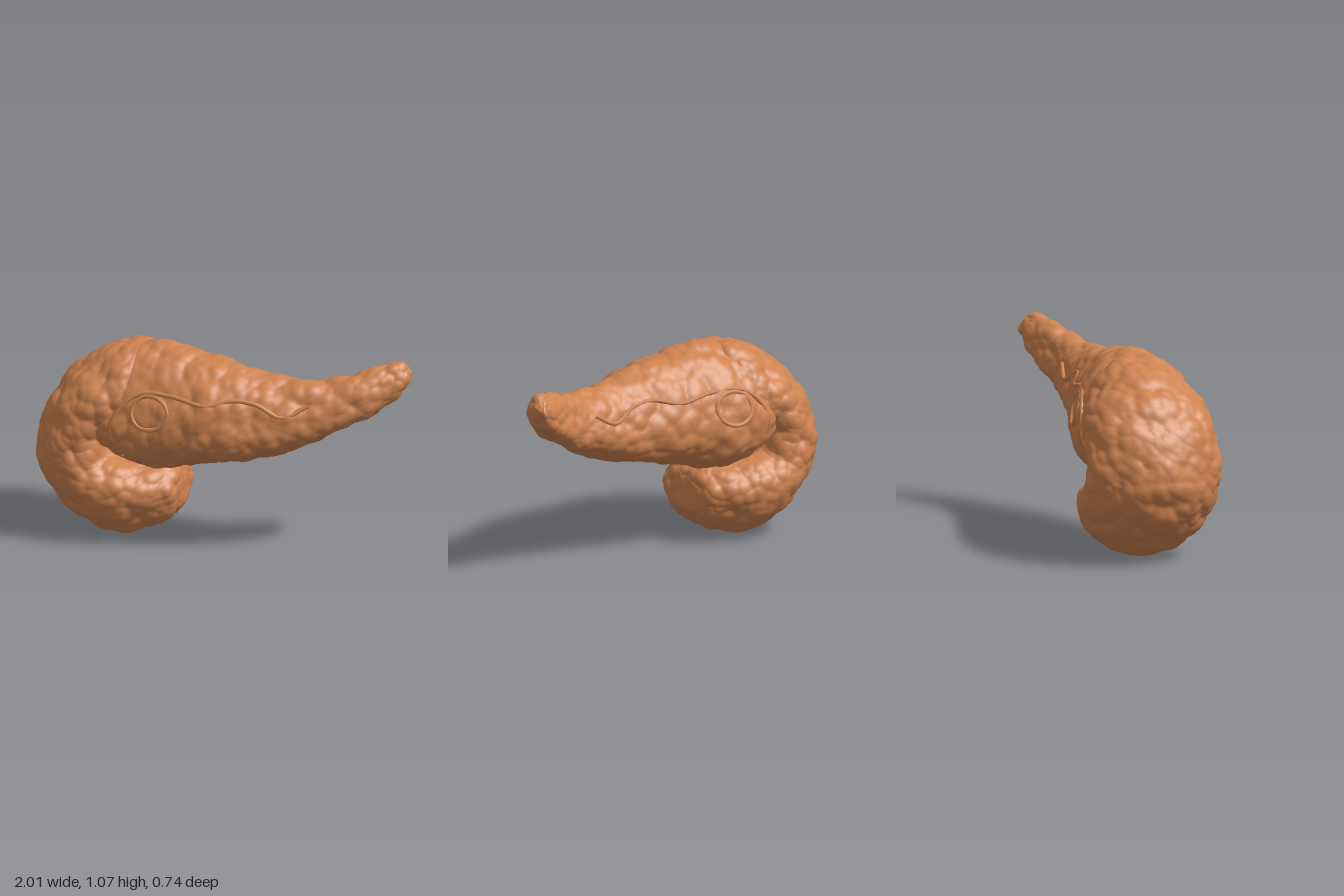
import * as THREE from 'three';

const hash = (x, y, z, k) => {
  const s = Math.sin(x * 127.1 + y * 311.7 + z * 74.7 + k * 53.3) * 43758.5453;
  return s - Math.floor(s);
};

// Cellular domes: 1 at a lobe centre, falling to a crease between lobes
function lobes(p, size) {
  const x = p.x / size, y = p.y / size, z = p.z / size;
  const cx = Math.floor(x), cy = Math.floor(y), cz = Math.floor(z);
  let best = 9;
  for (let i = cx - 1; i <= cx + 1; i++)
    for (let j = cy - 1; j <= cy + 1; j++)
      for (let k = cz - 1; k <= cz + 1; k++) {
        const dx = i + hash(i, j, k, 1) - x, dy = j + hash(i, j, k, 2) - y, dz = k + hash(i, j, k, 3) - z;
        best = Math.min(best, dx * dx + dy * dy + dz * dz);
      }
  return 1 - Math.min(best, 1);
}

// Surface through sections [outerX, outerY, innerX, innerY, zBack, zFront];
// sag moves the widest line of each section toward its inner side
function makeSurface(sections, sag) {
  const curve = (f) => new THREE.CatmullRomCurve3(sections.map(f), false, 'catmullrom', 0.5);
  const outer = curve((s) => new THREE.Vector3(s[0], s[1], 0));
  const inner = curve((s) => new THREE.Vector3(s[2], s[3], 0));
  const width = curve((s) => new THREE.Vector3(s[4], s[5], 0));
  return (t, a) => {
    const o = outer.getPoint(t), n = inner.getPoint(t), w = width.getPoint(t);
    const s = Math.sin(a), c = Math.cos(a) - sag * s * s;
    return new THREE.Vector3(
      (o.x + n.x) / 2 + c * (o.x - n.x) / 2,
      (o.y + n.y) / 2 + c * (o.y - n.y) / 2,
      (w.x + w.y) / 2 + s * (w.y - w.x) / 2);
  };
}

function lobedGeometry(surface, rows, cols, mirrored) {
  const pos = [], idx = [];
  for (let i = 0; i <= rows; i++)
    for (let j = 0; j < cols; j++) {
      pos.push(...surface(i / rows, j / cols * Math.PI * 2).toArray());
      if (i === rows) continue;
      const a = i * cols + j, b = i * cols + (j + 1) % cols;
      idx.push(a, b, a + cols, b, b + cols, a + cols);
    }
  const g = new THREE.BufferGeometry();
  g.setAttribute('position', new THREE.Float32BufferAttribute(pos, 3));
  g.setIndex(idx);
  g.computeVertexNormals();
  const p = new THREE.Vector3(), n = new THREE.Vector3(), q = new THREE.Vector3();
  const P = g.attributes.position;
  for (let v = 0; v < P.count; v++) {
    const row = Math.floor(v / cols);
    const fade = Math.min(1, row / 14, (rows - row) / 14);
    p.fromBufferAttribute(P, v);
    n.fromBufferAttribute(g.attributes.normal, v);
    q.copy(p);
    if (mirrored) q.z = Math.abs(q.z);
    const d = 0.028 * (lobes(q, 0.13) - 0.7) + 0.016 * (lobes(q, 0.065) - 0.7);
    p.addScaledVector(n, d * fade);
    P.setXYZ(v, p.x, p.y, p.z);
  }
  g.computeVertexNormals();
  return g;
}

export function createModel() {
  const tissue = new THREE.MeshStandardMaterial({ color: 0xcd8250 });
  tissue.name = 'tissue';
  const group = new THREE.Group();
  const add = (geometry, name) => {
    const m = new THREE.Mesh(geometry, tissue);
    m.name = name;
    group.add(m);
  };

  // Broad head, curling from the hook tip round to the top
  const head = makeSurface([
    [-0.205, 0.27, -0.205, 0.27, 0, 0],
    [-0.22, 0.17, -0.21, 0.355, -0.15, 0.15],
    [-0.30, 0.08, -0.26, 0.41, -0.22, 0.22],
    [-0.49, 0.01, -0.38, 0.44, -0.315, 0.315],
    [-0.72, 0.06, -0.46, 0.46, -0.355, 0.355],
    [-0.91, 0.23, -0.53, 0.48, -0.36, 0.36],
    [-1.00, 0.45, -0.55, 0.53, -0.36, 0.36],
    [-0.95, 0.68, -0.55, 0.58, -0.355, 0.355],
    [-0.82, 0.87, -0.53, 0.60, -0.34, 0.34],
    [-0.61, 1.01, -0.47, 0.62, -0.315, 0.315],
    [-0.42, 1.05, -0.38, 0.68, -0.23, 0.23],
    [-0.28, 0.90, -0.28, 0.90, 0, 0],
  ], 0.17);
  add(lobedGeometry(head, 190, 150, true), 'head');

  // Body tapering into the upturned tail
  const body = makeSurface([
    [-0.71, 0.70, -0.71, 0.70, 0, 0],
    [-0.66, 0.92, -0.63, 0.52, -0.26, 0.26],
    [-0.52, 1.02, -0.49, 0.43, -0.32, 0.32],
    [-0.36, 1.065, -0.34, 0.395, -0.315, 0.33],
    [-0.18, 1.045, -0.18, 0.425, -0.27, 0.34],
    [0.00, 1.015, 0.00, 0.47, -0.23, 0.345],
    [0.20, 0.97, 0.20, 0.505, -0.165, 0.305],
    [0.40, 0.945, 0.40, 0.56, -0.13, 0.24],
    [0.60, 0.955, 0.61, 0.65, -0.115, 0.155],
    [0.78, 1.00, 0.81, 0.76, -0.15, 0.075],
    [0.91, 1.04, 0.95, 0.87, -0.185, -0.02],
    [0.97, 1.035, 0.99, 0.93, -0.185, -0.075],
    [1.00, 0.985, 1.00, 0.985, -0.13, -0.13],
  ], 0.24);
  add(lobedGeometry(body, 210, 120, false), 'bodyAndTail');

  // Raised vessels on both flanks, given as (section, angle from the top)
  const vessel = (points, side, closed, name) => {
    const path = points.map(([s, a]) => body(s / 12, side * a));
    const curve = new THREE.CatmullRomCurve3(path, closed);
    add(new THREE.TubeGeometry(curve, 90, 0.012, 8, closed), name);
  };
  const loop = [];
  for (let i = 0; i < 10; i++) {
    const a = i / 10 * Math.PI * 2;
    loop.push([3.3 + 0.6 * Math.cos(a), 1.26 + 0.24 * Math.sin(a)]);
  }
  for (const side of [1, -1]) {
    vessel([[2.2, 2.2], [1.9, 1.6], [2.3, 1.2], [3, 1.0], [4, 0.98], [5, 1.05], [5.7, 0.88], [6.3, 0.9], [7, 1.2], [7.6, 1.0]],
      side, false, side > 0 ? 'frontVessel' : 'backVessel');
    vessel(loop, side, true, side > 0 ? 'frontVesselLoop' : 'backVesselLoop');
  }

  // Stand on the ground, centred in x and z
  const box = new THREE.Box3().setFromObject(group);
  const c = box.getCenter(new THREE.Vector3());
  group.children.forEach((m) => m.geometry.translate(-c.x, -box.min.y, -c.z));
  return group;
}
